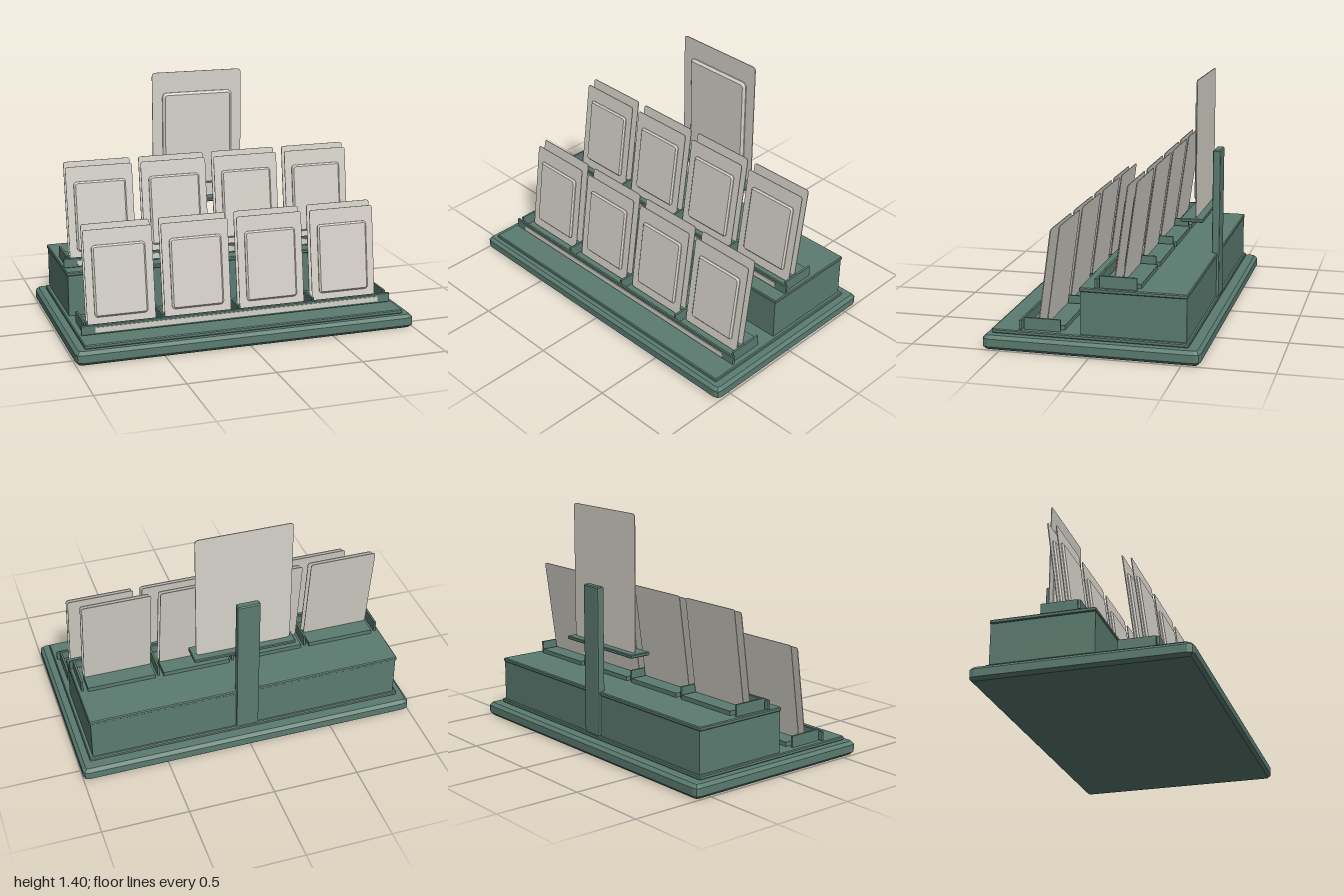
import * as THREE from 'three';

const green = new THREE.MeshStandardMaterial({ color: 0x5b7c70 });
green.name = 'green board';
const ivory = new THREE.MeshStandardMaterial({ color: 0xd6d2ca });
ivory.name = 'ivory card';

function roundedRect(w, h, r) {
  const s = new THREE.Shape();
  const x = w / 2, y = h / 2;
  s.moveTo(-x + r, -y);
  s.lineTo(x - r, -y);
  s.quadraticCurveTo(x, -y, x, -y + r);
  s.lineTo(x, y - r);
  s.quadraticCurveTo(x, y, x - r, y);
  s.lineTo(-x + r, y);
  s.quadraticCurveTo(-x, y, -x, y - r);
  s.lineTo(-x, -y + r);
  s.quadraticCurveTo(-x, -y, -x + r, -y);
  return s;
}

// Box with chamfered edges, centred in x and z, standing on y
function block(name, w, h, d, bevel, x, y, z) {
  const g = new THREE.ExtrudeGeometry(roundedRect(w - 2 * bevel, d - 2 * bevel, bevel), {
    depth: h - 2 * bevel, bevelEnabled: true, bevelThickness: bevel, bevelSize: bevel,
    bevelSegments: 1, curveSegments: 2,
  });
  g.rotateX(-Math.PI / 2);
  g.translate(0, bevel, 0);
  const m = new THREE.Mesh(g, green);
  m.name = name;
  m.position.set(x, y, z);
  return m;
}

function box(name, w, h, d, x, y, z, mat = green) {
  const m = new THREE.Mesh(new THREE.BoxGeometry(w, h, d), mat);
  m.name = name;
  m.position.set(x, y + h / 2, z);
  return m;
}

// Thin backing plate with a raised, chamfered panel; origin at bottom centre
function makeCard(name, w) {
  const card = new THREE.Group();
  card.name = name;
  const h = 1.393 * w, t = 0.005;
  const backing = new THREE.Mesh(new THREE.ExtrudeGeometry(roundedRect(w, h, 0.04 * w), {
    depth: t, bevelEnabled: false, curveSegments: 4,
  }), ivory);
  backing.name = 'cardBacking';
  backing.position.set(0, h / 2, 0);

  const bevel = 0.024 * w, pw = 0.777 * w, ph = 1.027 * w;
  const pg = new THREE.ExtrudeGeometry(roundedRect(pw - 2 * bevel, ph - 2 * bevel, 0.03 * w), {
    depth: 0.011 * w, bevelEnabled: true, bevelThickness: bevel, bevelSize: bevel,
    bevelSegments: 1, curveSegments: 4,
  });
  // Keep the back of the panel square against the plate
  const p = pg.attributes.position;
  for (let i = 0; i < p.count; i++) p.setZ(i, Math.max(p.getZ(i), 0));
  pg.computeVertexNormals();
  const panel = new THREE.Mesh(pg, ivory);
  panel.name = 'cardPanel';
  panel.position.set(0, 0.143 * w + ph / 2, t);
  card.add(backing, panel);
  return card;
}

// One row of four slots, each holding a pair of leaning cards
function makeRow(name) {
  const row = new THREE.Group();
  row.name = name;
  row.add(block('frontLip', 1.86, 0.057, 0.018, 0.004, 0, 0.103, 0.4));
  row.add(box('labelStrip', 1.7, 0.03, 0.004, 0, 0.115, 0.4105, ivory));
  for (const x of [-0.905, -0.4525, 0, 0.4525, 0.905]) {
    row.add(box('divider', 0.012, 0.067, 0.205, x, 0.103, 0.2825));
  }
  for (const x of [-0.675, -0.225, 0.225, 0.675]) {
    row.add(box('rearStep', 0.4, 0.027, 0.12, x, 0.102, 0.225));
    for (const [y, z] of [[0.11, 0.314], [0.131, 0.264]]) {
      const card = makeCard('leaningCard', 0.397);
      card.position.set(x, y, z);
      card.rotation.x = -0.138;
      row.add(card);
    }
  }
  return row;
}

export function createModel() {
  const model = new THREE.Group();
  model.name = 'cardDisplayStand';

  // Stepped base
  model.add(block('base', 2, 0.08, 1.2, 0.018, 0, 0, 0));
  model.add(block('baseDeck', 1.89, 0.023, 1.09, 0.005, 0, 0.08, 0.015));

  // Raised rear tier
  model.add(box('rearTier', 1.85, 0.245, 0.58, 0, 0.1, -0.225));
  model.add(block('rearTierTop', 1.865, 0.023, 0.59, 0.005, 0, 0.342, -0.225));

  // Card rows
  model.add(makeRow('frontRow'));
  const back = makeRow('backRow');
  back.position.set(0, 0.261, -0.424);
  model.add(back);

  // Post, shelf and large card
  model.add(block('post', 0.135, 0.87, 0.045, 0.006, 0, 0.1, -0.5075));
  model.add(block('postShelf', 0.604, 0.02, 0.13, 0.004, 0, 0.598, -0.412));
  const big = makeCard('largeCard', 0.56);
  big.position.set(0, 0.618, -0.433);
  model.add(big);

  return model;
}
